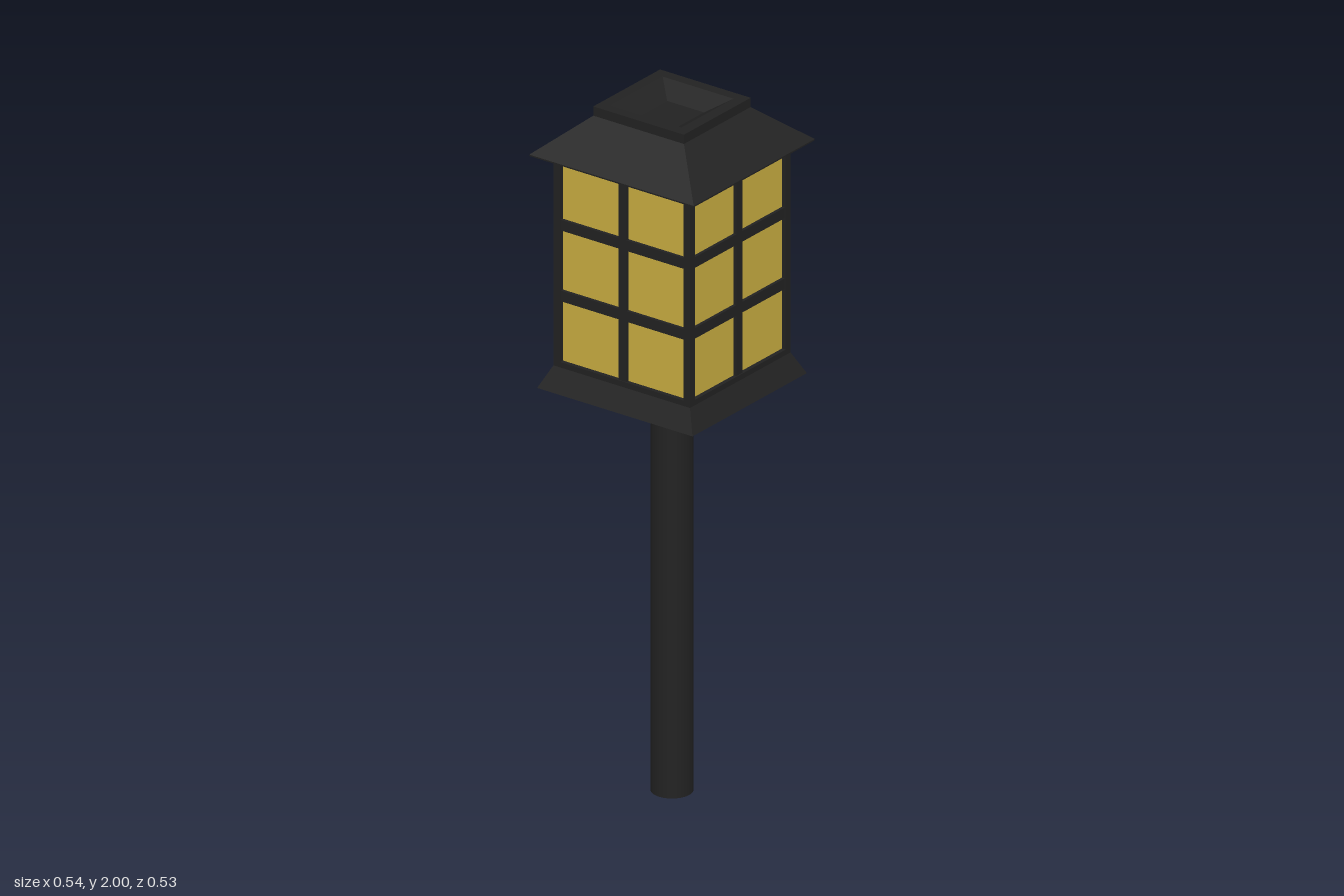
import * as THREE from 'three';

const black = new THREE.MeshStandardMaterial({ color: 0x222222 });
const amber = new THREE.MeshStandardMaterial({ color: 0xc8ac40 });
const DEPTH = 0.98; // the lantern is slightly shallower than wide

// Square solid of revolution: profile of [half width, height], bottom to top
function squareLathe(profile) {
  const pts = profile.map(([h, y]) => new THREE.Vector2(h * Math.SQRT2, y));
  const geo = new THREE.LatheGeometry(pts, 4).rotateY(Math.PI / 4).scale(1, 1, DEPTH).toNonIndexed();
  geo.computeVertexNormals();
  return geo;
}

export function createModel() {
  const model = new THREE.Group();
  model.name = 'gardenLantern';

  const add = (name, geo, mat, x = 0, y = 0, z = 0, parent = model) => {
    const mesh = new THREE.Mesh(geo, mat);
    mesh.name = name;
    mesh.position.set(x, y, z);
    parent.add(mesh);
    return mesh;
  };
  const box = (w, h, d) => new THREE.BoxGeometry(w, h, d);

  // Pole
  add('pole', new THREE.CylinderGeometry(0.057, 0.057, 1.2, 32), black, 0, 0.6, 0);

  // Flared base under the lantern
  add('base', squareLathe([[0, 1.19], [0.257, 1.19], [0.226, 1.253], [0.226, 1.269], [0, 1.269]]), black);

  // Roof with a raised cap and a sunken square in its top
  add('roof', squareLathe([
    [0, 1.866], [0.272, 1.866], [0.272, 1.87], [0.15, 1.973],
    [0.15, 2.0], [0.117, 2.0], [0.061, 1.965], [0, 1.965],
  ]), black);

  // Glowing glass body
  const hx = 0.226, hz = hx * DEPTH, y0 = 1.26, y1 = 1.868;
  const midY = (y0 + y1) / 2, tall = y1 - y0, inset = 0.012;
  add('glass', box(2 * (hx - inset), tall, 2 * (hz - inset)), amber, 0, midY, 0);

  // Corner posts
  const post = 0.022;
  for (const sx of [-1, 1]) for (const sz of [-1, 1]) {
    add('cornerPost', box(post, tall, post), black, sx * (hx - post / 2), midY, sz * (hz - post / 2));
  }

  // Window bars on each of the four sides
  for (let i = 0; i < 4; i++) {
    const side = new THREE.Group();
    side.name = 'windowBars';
    side.rotation.y = i * Math.PI / 2;
    const [half, out] = i % 2 ? [hz, hx] : [hx, hz];
    const t = 0.016, z = out - 0.003 - t / 2;
    add('verticalBar', box(0.027, tall, t), black, 0, midY, z, side);
    for (const y of [1.46, 1.666]) {
      add('horizontalBar', box(2 * half - post, 0.031, t), black, 0, y, z, side);
    }
    add('topRail', box(2 * half - post, 0.012, t), black, 0, 1.866, z, side);
    model.add(side);
  }

  return model;
}
